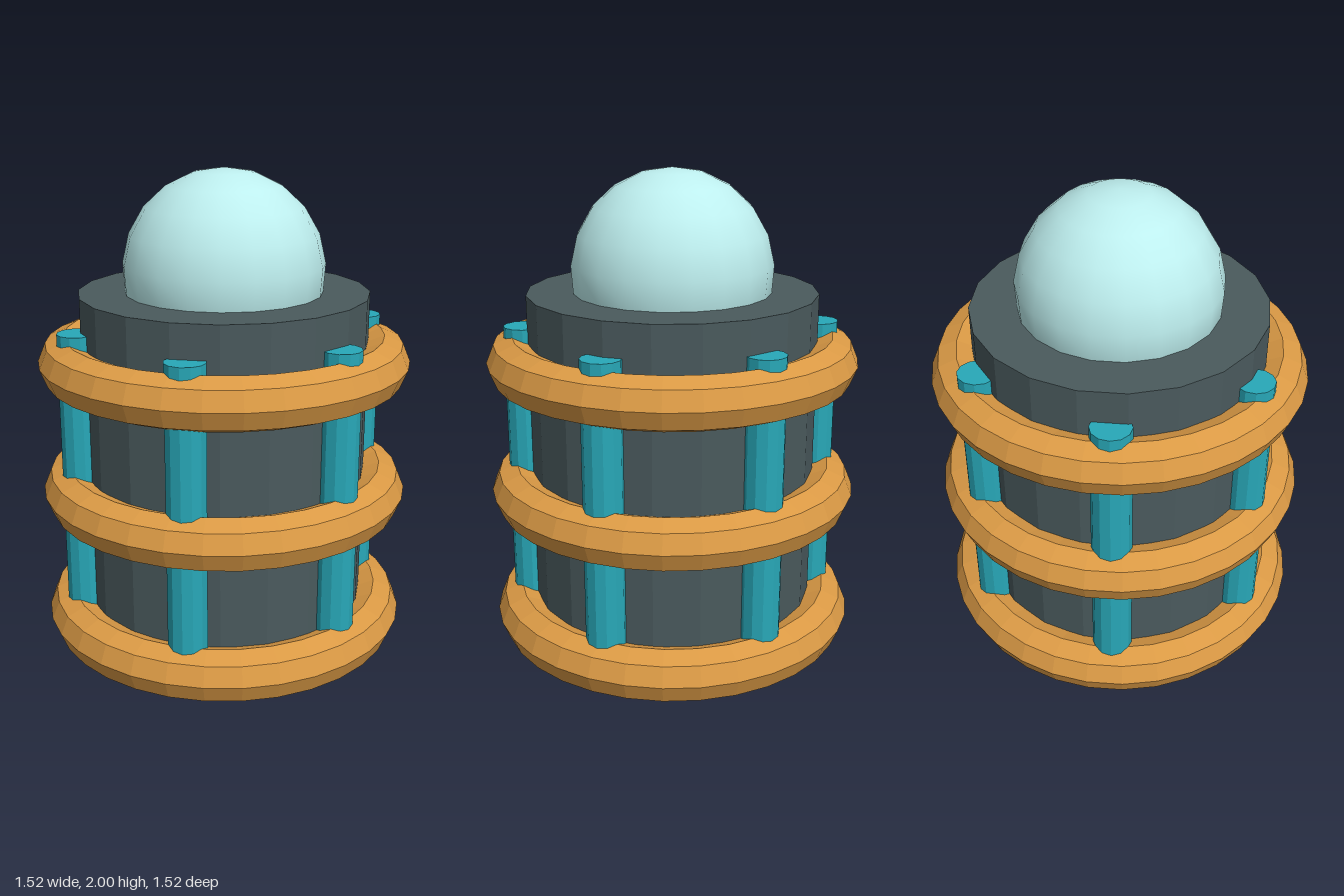
import * as THREE from 'three';

const material = (color, flatShading = true) =>
  new THREE.MeshStandardMaterial({ color, flatShading });

export function createModel() {
  const model = new THREE.Group();
  model.name = 'ringedLantern';

  const steel = material(0x4a5a5d);
  const brass = material(0xdb9a45);
  const teal = material(0x28a8b8);
  const glass = material(0xbdeeee, false);
  glass.side = THREE.DoubleSide;

  const add = (name, geometry, mat, x, y, z) => {
    const mesh = new THREE.Mesh(geometry, mat);
    mesh.name = name;
    mesh.position.set(x, y, z);
    model.add(mesh);
    return mesh;
  };

  // Central drum
  const height = 1.51;
  add('drum', new THREE.CylinderGeometry(0.59, 0.59, height, 20), steel, 0, height / 2, 0);

  // Glass dome, its open edge sunk just below the drum top
  add('dome', new THREE.SphereGeometry(0.41, 20, 6, 0, Math.PI * 2, 0, 1.79), glass, 0, 1.59, 0);

  // Three bands around the drum
  const ring = new THREE.TorusGeometry(0.652, 0.106, 8, 32).rotateX(Math.PI / 2);
  for (const y of [0.14, 0.69, 1.235]) add('ring', ring, brass, 0, y, 0);

  // Six upright rods half sunk in the drum, running from the lowest ring past the top one
  const bottom = 0.1, top = 1.375;
  const rod = new THREE.CylinderGeometry(0.08, 0.08, top - bottom, 12);
  for (let i = 0; i < 6; i++) {
    const a = (i * Math.PI) / 3;
    add('rod', rod, teal, 0.605 * Math.cos(a), (top + bottom) / 2, 0.605 * Math.sin(a));
  }

  return model;
}
